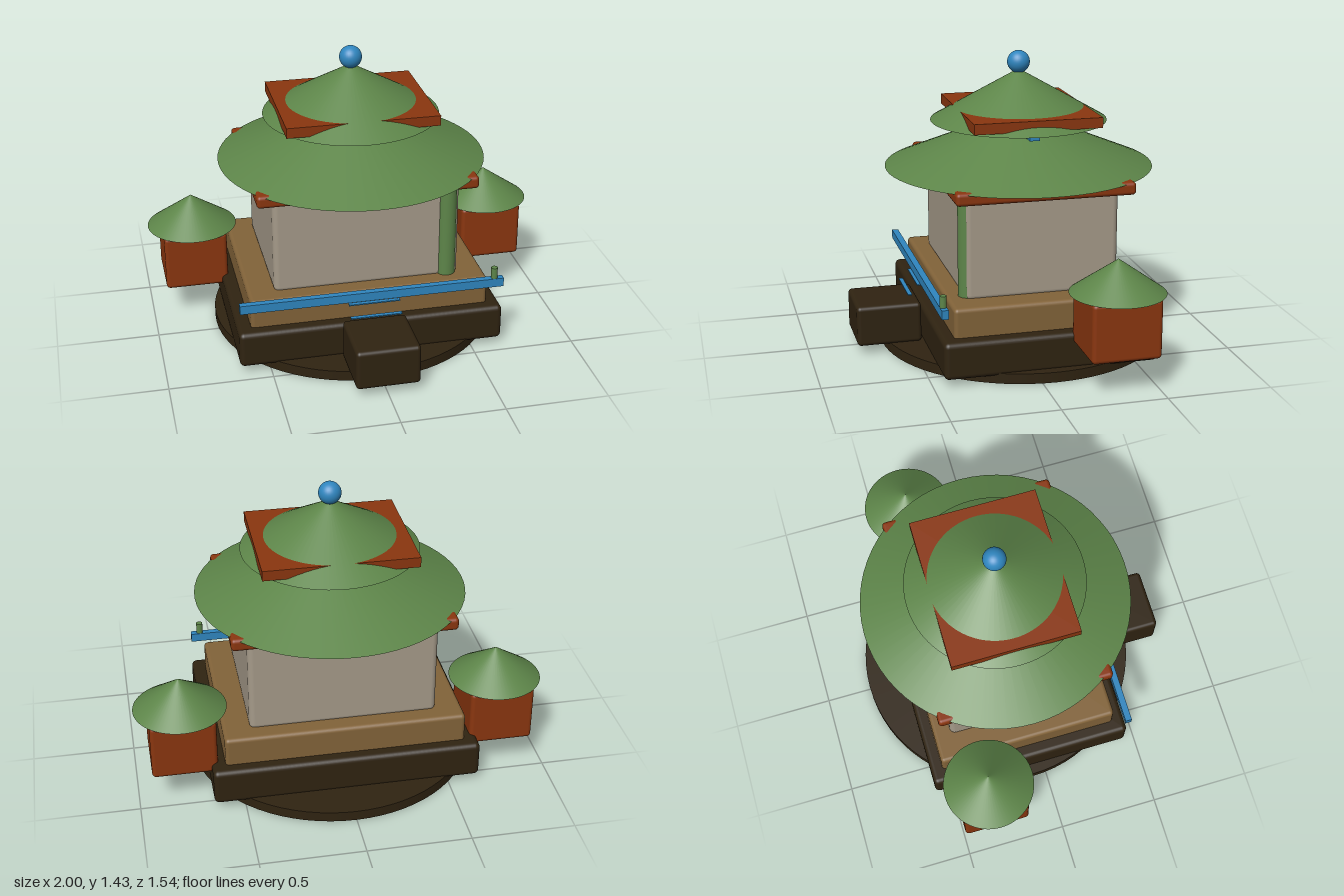
import * as THREE from 'three';
import { RoundedBoxGeometry } from 'three/addons/geometries/RoundedBoxGeometry.js';

export function createModel() {
  const root = new THREE.Group();
  root.name = 'pavilion';

  const material = (name, color) => {
    const m = new THREE.MeshStandardMaterial({ color });
    m.name = name;
    return m;
  };
  const darkWood = material('darkWood', 0x2f2311);
  const tanStone = material('tanStone', 0x826339);
  const plaster = material('plaster', 0xa59a89);
  const redWood = material('redWood', 0x8a360f);
  const greenTile = material('greenTile', 0x5d8549);
  const blueGlaze = material('blueGlaze', 0x2f86bf);

  const CZ = -0.065; // centre line of the main building

  const add = (name, geometry, mat, x, y, z) => {
    const mesh = new THREE.Mesh(geometry, mat);
    mesh.name = name;
    mesh.position.set(x, y, z);
    root.add(mesh);
    return mesh;
  };
  // Boxes and round parts are placed by the height of their underside
  const box = (name, mat, w, h, d, x, y0, z, r = 0) => add(name,
    r ? new RoundedBoxGeometry(w, h, d, 3, r) : new THREE.BoxGeometry(w, h, d),
    mat, x, y0 + h / 2, z);
  const post = (name, mat, r, h, x, y0, z, sides = 32) =>
    add(name, new THREE.CylinderGeometry(r, r, h, sides), mat, x, y0 + h / 2, z);
  const cone = (name, r, h, x, y0, z) =>
    add(name, new THREE.ConeGeometry(r, h, 64), greenTile, x, y0 + h / 2, z);

  // Ground disc and stepped foundation
  post('groundDisc', darkWood, 0.7, 0.05, 0, 0, -0.07, 72);
  box('foundation', darkWood, 1.3, 0.18, 1.03, 0, 0.035, CZ, 0.025);
  box('terrace', tanStone, 1.17, 0.16, 0.91, 0, 0.195, CZ, 0.02);
  box('frontStep', darkWood, 0.31, 0.2, 0.315, 0, 0.045, 0.617, 0.02);

  // Hall with its porch column
  box('hallWalls', plaster, 0.91, 0.5, 0.74, 0, 0.34, CZ, 0.028);
  post('porchColumn', greenTile, 0.046, 0.49, 0.4, 0.345, 0.285);

  // Lower roof
  box('lowerEaves', redWood, 1.07, 0.062, 0.86, 0, 0.824, CZ, 0.018);
  cone('lowerRoof', 0.655, 0.273, 0, 0.876, CZ);

  // Upper roof, ridge beam and finial
  box('ridgeBeam', blueGlaze, 0.61, 0.04, 0.05, 0, 1.055, CZ);
  box('upperEaves', redWood, 0.74, 0.05, 0.62, 0, 1.115, -0.068);
  cone('upperRoof', 0.43, 0.247, 0, 1.1, CZ);
  add('finial', new THREE.SphereGeometry(0.055, 32, 20), blueGlaze, 0, 1.38, CZ);

  // Side turrets
  for (const side of [-1, 1]) {
    box('turret', redWood, 0.315, 0.285, 0.332, side * 0.775, 0.163, -0.328, 0.02);
    cone('turretRoof', 0.224, 0.16, side * 0.775, 0.445, -0.328);
  }

  // Front railing, its small post and the thin treads below it
  box('railing', blueGlaze, 1.29, 0.044, 0.032, 0, 0.335, 0.445);
  post('railingPost', greenTile, 0.016, 0.075, 0.6, 0.36, 0.445, 16);
  box('upperTread', blueGlaze, 0.25, 0.006, 0.02, 0, 0.325, 0.465);
  box('lowerTread', blueGlaze, 0.25, 0.006, 0.02, 0, 0.277, 0.51);

  return root;
}
